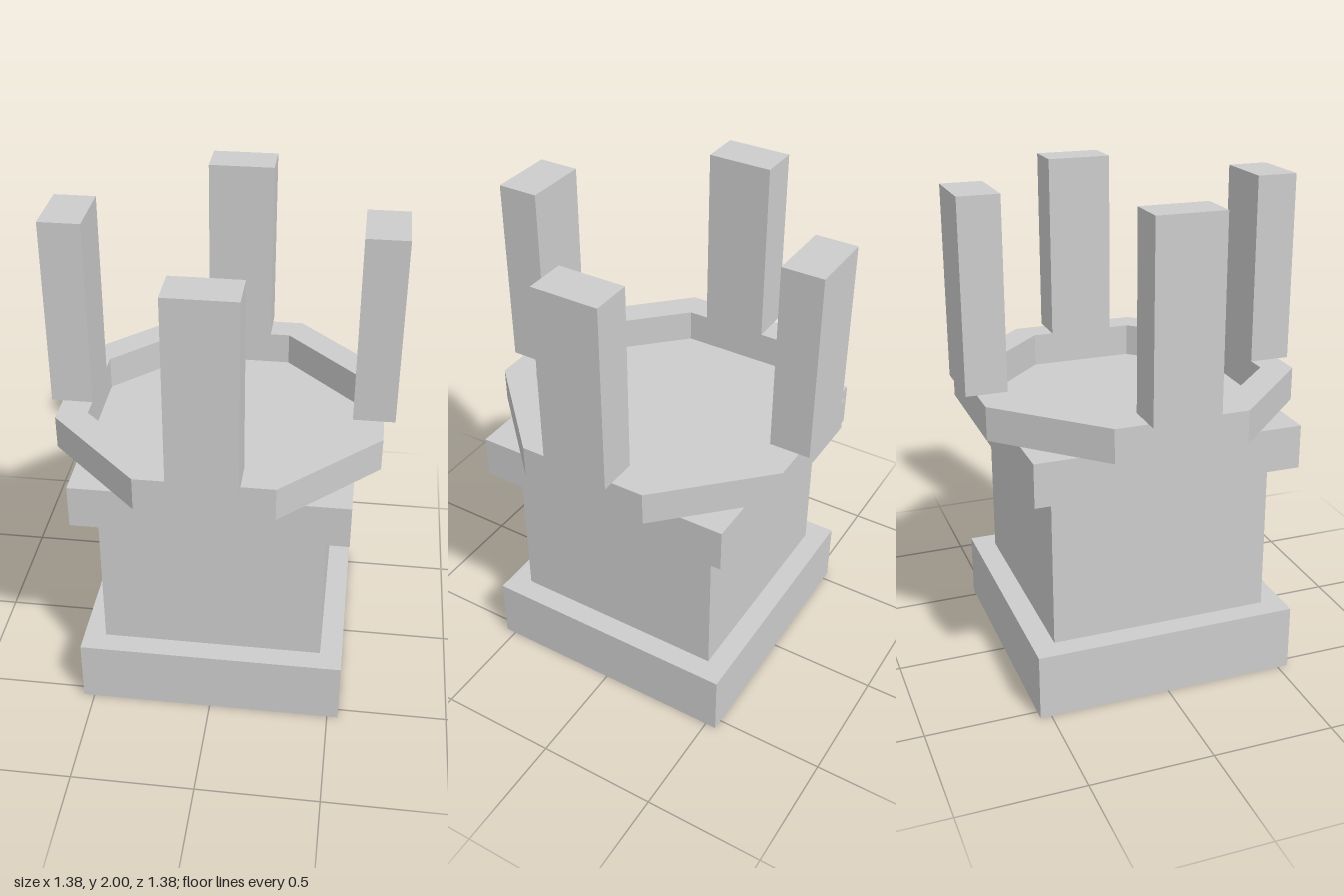
import * as THREE from 'three';

const stone = new THREE.MeshStandardMaterial({ color: 0xcccccc });
stone.name = 'stone grey';

// Regular octagon with flat sides facing the axes
function octagon(apothem, PathType) {
  const r = apothem / Math.cos(Math.PI / 8);
  const points = [];
  for (let i = 0; i < 8; i++) {
    const a = Math.PI / 8 + (i * Math.PI) / 4;
    points.push(new THREE.Vector2(r * Math.cos(a), r * Math.sin(a)));
  }
  return new PathType(points);
}

export function createModel() {
  const model = new THREE.Group();
  model.name = 'pedestal';

  const addBox = (name, w, d, y0, y1, x = 0, z = 0) => {
    const mesh = new THREE.Mesh(new THREE.BoxGeometry(w, y1 - y0, d), stone);
    mesh.name = name;
    mesh.position.set(x, (y0 + y1) / 2, z);
    model.add(mesh);
  };

  // Square pedestal
  addBox('base', 1.09, 1.09, 0, 0.272);
  addBox('shaft', 0.908, 0.908, 0.272, 0.915);
  addBox('capital', 1.09, 1.09, 0.915, 1.093);

  // Octagonal rim around the recessed floor
  const shape = octagon(0.646, THREE.Shape);
  shape.holes.push(octagon(0.525, THREE.Path));
  const rimGeometry = new THREE.ExtrudeGeometry(shape, { depth: 0.137, bevelEnabled: false });
  rimGeometry.rotateX(-Math.PI / 2);
  const rim = new THREE.Mesh(rimGeometry, stone);
  rim.name = 'rim';
  rim.position.y = 1.093;
  model.add(rim);

  // Four posts, overhanging the rim slightly
  for (const s of [1, -1]) {
    addBox(s > 0 ? 'leftPost' : 'rightPost', 0.167, 0.272, 1.23, 2, s * 0.607, 0);
    addBox(s > 0 ? 'frontPost' : 'backPost', 0.272, 0.167, 1.23, 2, 0, s * 0.607);
  }
  return model;
}
